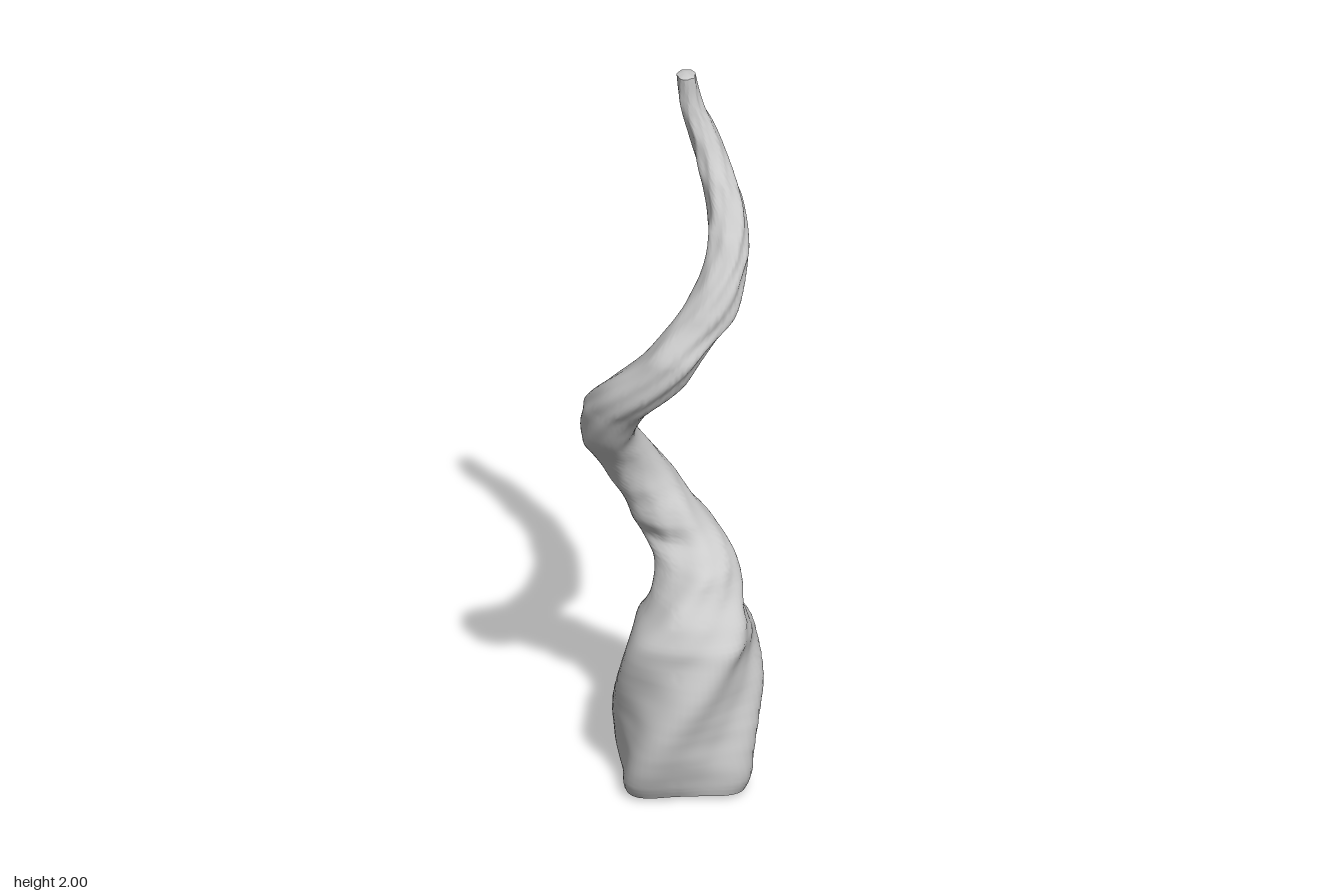
import * as THREE from 'three';
import { toCreasedNormals } from 'three/addons/utils/BufferGeometryUtils.js';

// Horizontal extents of the horn by height: y, xMin, xMax, zMin, zMax
const LEVELS = [
  [0.01, -0.125, 0.18, -0.16, 0.13],
  [0.05, -0.142, 0.195, -0.182, 0.152],
  [0.12, -0.15, 0.202, -0.187, 0.176],
  [0.2, -0.155, 0.215, -0.185, 0.19],
  [0.3, -0.145, 0.228, -0.175, 0.192],
  [0.4, -0.12, 0.21, -0.15, 0.168],
  [0.5, -0.07, 0.178, -0.12, 0.132],
  [0.56, -0.05, 0.175, -0.145, 0.095],
  [0.61, -0.05, 0.16, -0.187, 0.06],
  [0.66, -0.08, 0.122, -0.212, -0.02],
  [0.73, -0.115, 0.065, -0.22, -0.038],
  [0.8, -0.15, 0.015, -0.22, -0.042],
  [0.9, -0.203, -0.045, -0.172, 0],
  [1.0, -0.235, -0.095, -0.105, 0.085],
  [1.1, -0.232, -0.08, -0.03, 0.145],
  [1.2, -0.185, 0, 0.045, 0.21],
  [1.3, -0.085, 0.065, 0.09, 0.228],
  [1.4, -0.005, 0.145, 0.075, 0.2],
  [1.5, 0.06, 0.18, 0.04, 0.165],
  [1.6, 0.085, 0.188, -0.02, 0.1],
  [1.7, 0.073, 0.165, -0.085, 0.035],
  [1.8, 0.045, 0.125, -0.12, -0.02],
  [1.9, 0.02, 0.08, -0.117, -0.052],
  [1.99, 0.01, 0.058, -0.105, -0.048],
];
const RINGS = 184, SIDES = 64;

// Smooth interpolation of one extent column against height
const [xMin, xMax, zMin, zMax] = [1, 2, 3, 4].map(
  (k) => new THREE.SplineCurve(LEVELS.map((l) => new THREE.Vector2(l[0], l[k]))));

function centre(t) {
  const a = xMin.getPoint(t), b = xMax.getPoint(t), c = zMin.getPoint(t), d = zMax.getPoint(t);
  return new THREE.Vector3((a.y + b.y) / 2, a.x, (c.y + d.y) / 2);
}

// The ridges turn slowly at the foot, then keep pace with the spiral
function twistAt(y) {
  const degrees = y < 0.5 ? 45 + 90 * y + 240 * y * y : 150 + 300 * (y - 0.5);
  return THREE.MathUtils.degToRad(degrees);
}

// One twisted, rounded-square slice, stretched along the slope and fitted to its extents
function ring(t) {
  const { smoothstep, lerp, mapLinear } = THREE.MathUtils;
  const mid = centre(t), y = mid.y;
  const slope = centre(Math.min(1, t + 0.015)).sub(centre(Math.max(0, t - 0.015)));
  const lean = new THREE.Vector2(slope.x, slope.z).divideScalar(slope.y);
  const stretch = Math.min(0.3, Math.sqrt(1 + lean.lengthSq()) - 1);
  lean.normalize();
  const twist = twistAt(y);
  const square = lerp(0.13, 0.07, Math.min(1, y / 0.45)) - 0.045 * smoothstep(y, 0.5, 0.75);
  const grain = smoothstep(y, 0.6, 1.9);
  // Fuller outer side where the spiral runs diagonally
  const outward = Math.atan2(mid.x, mid.z);
  const bulge = Math.abs(Math.sin(2 * outward)) * smoothstep(y, 0.54, 0.64)
    * lerp(0.16, 0.03, smoothstep(y, 0.9, 1.2));
  const pts = [];
  for (let j = 0; j < SIDES; j++) {
    const a = (j / SIDES) * Math.PI * 2, u = a - twist;
    const r = 1 + square * Math.cos(4 * u) + 0.015 * Math.cos(8 * u)
      + bulge * Math.max(0, Math.cos(a - outward)) ** 4
      + 0.015 * Math.sin(3 * u + 4 * y)
      + (0.01 + 0.03 * grain) * Math.sin(7 * u + 2 * Math.sin(6 * y))
      + (0.008 + 0.03 * grain) * Math.sin(5 * u + 23 * y) * Math.sin(37 * y);
    const p = new THREE.Vector2(r * Math.sin(a), r * Math.cos(a));
    pts.push(p.addScaledVector(lean, p.dot(lean) * stretch));
  }
  const box = new THREE.Box2().setFromPoints(pts);
  const fit = (v, a, b, curveA, curveB) =>
    mapLinear(v, a, b, curveA.getPoint(t).y, curveB.getPoint(t).y);
  return pts.map((p) => new THREE.Vector3(
    fit(p.x, box.min.x, box.max.x, xMin, xMax), y,
    fit(p.y, box.min.y, box.max.y, zMin, zMax)));
}

function hornGeometry() {
  const verts = [], index = [];
  for (let i = 0; i <= RINGS; i++) for (const p of ring(i / RINGS)) verts.push(p.x, p.y, p.z);
  const at = (i, j) => i * SIDES + (j % SIDES);
  for (let i = 0; i < RINGS; i++) {
    for (let j = 0; j < SIDES; j++) {
      index.push(at(i, j), at(i, j + 1), at(i + 1, j));
      index.push(at(i, j + 1), at(i + 1, j + 1), at(i + 1, j));
    }
  }
  // Flat foot and blunt tip
  const foot = verts.length / 3, tip = foot + 1;
  const c0 = centre(0), c1 = centre(1);
  verts.push(c0.x, 0, c0.z, c1.x, 2, c1.z);
  for (let j = 0; j < SIDES; j++) {
    index.push(foot, at(0, j + 1), at(0, j));
    index.push(tip, at(RINGS, j), at(RINGS, j + 1));
  }
  const g = new THREE.BufferGeometry();
  g.setAttribute('position', new THREE.Float32BufferAttribute(verts, 3));
  g.setIndex(index);
  return toCreasedNormals(g, 0.9);
}

export function createModel() {
  const model = new THREE.Group();
  model.name = 'spiralHorn';
  const horn = new THREE.Mesh(hornGeometry(), new THREE.MeshStandardMaterial({ color: 0xcccccc }));
  horn.name = 'horn';
  model.add(horn);
  return model;
}
